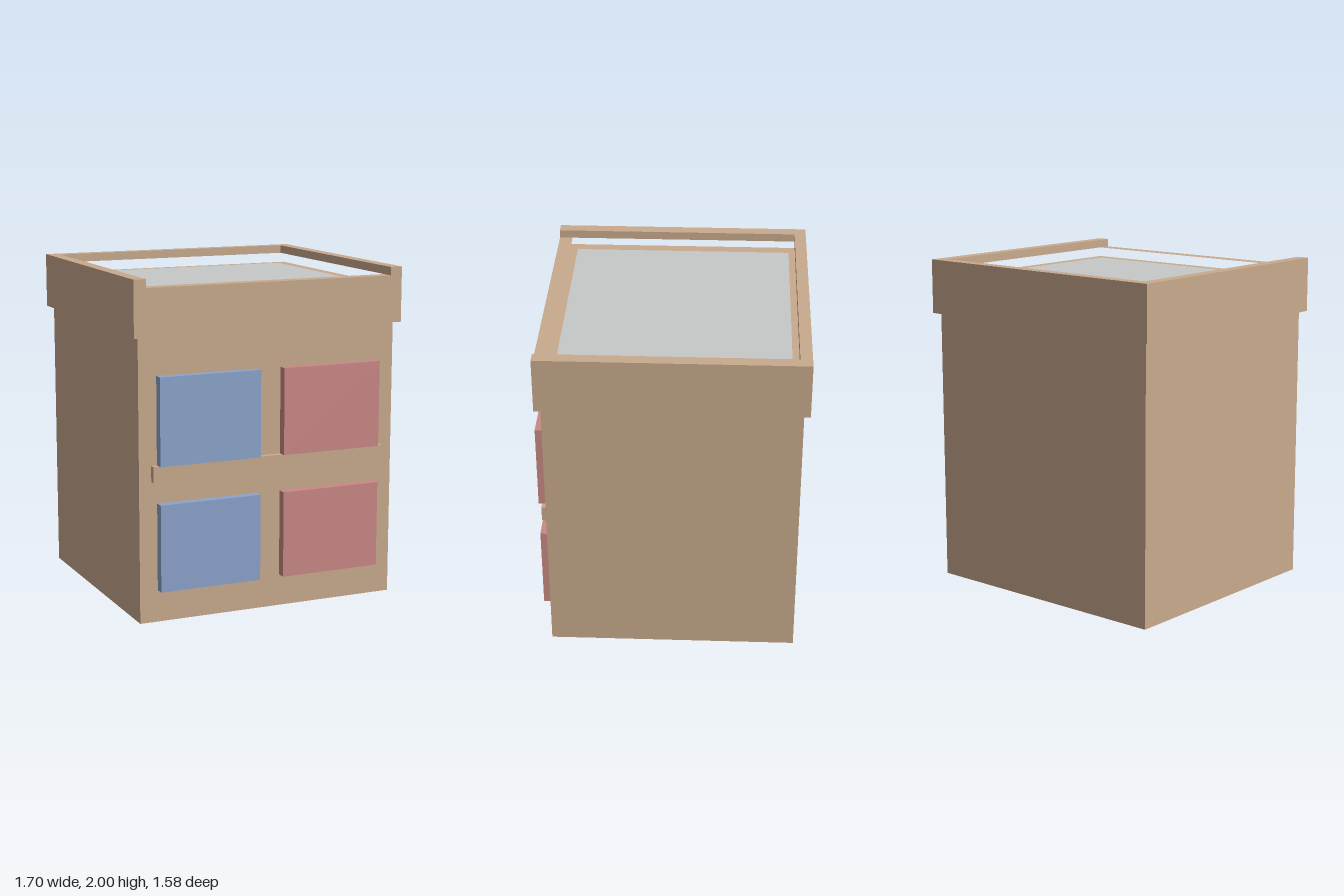
import * as THREE from 'three';

export function createModel() {
  const group = new THREE.Group();
  group.name = 'drawerCabinet';

  const material = (name, color) => {
    const m = new THREE.MeshStandardMaterial({ color });
    m.name = name;
    return m;
  };
  const tan = material('tan', 0xc8aa8d);
  const blue = material('blue', 0x8ba3cb);
  const red = material('red', 0xc98885);
  const grey = material('grey', 0xc6c9c8);

  const add = (name, geometry, mat) => {
    const mesh = new THREE.Mesh(geometry, mat);
    mesh.name = name;
    group.add(mesh);
    return mesh;
  };
  // Box given by its minimum and maximum corners
  const box = (name, mat, [x0, y0, z0], [x1, y1, z1]) =>
    add(name, new THREE.BoxGeometry(x1 - x0, y1 - y0, z1 - z0), mat)
      .position.set((x0 + x1) / 2, (y0 + y1) / 2, (z0 + z1) / 2);
  // Plan outline of [x, z] points, raised from y0 to y1
  const points = (pts) => pts.map(([x, z]) => new THREE.Vector2(x, -z));
  const rect = (x, z0, z1) => points([[-x, z0], [x, z0], [x, z1], [-x, z1]]);
  const raise = (name, mat, shape, y0, y1) => {
    const g = new THREE.ExtrudeGeometry(shape, { depth: y1 - y0, bevelEnabled: false });
    g.rotateX(-Math.PI / 2);
    add(name, g, mat).position.y = y0;
  };

  // Cabinet body, its top forming the ledge inside the rim
  box('body', tan, [-0.815, 0, -0.75], [0.815, 1.885, 0.735]);
  box('topPanel', grey, [-0.74, 1.88, -0.68], [0.74, 1.888, 0.655]);

  // Rim: a closed ring, with a raised edge open at the front
  const ring = new THREE.Shape(rect(0.85, -0.785, 0.77));
  ring.holes.push(new THREE.Path(rect(0.775, -0.715, 0.69)));
  raise('rim', tan, ring, 1.67, 1.95);
  const edge = new THREE.Shape(points([
    [-0.85, 0.77], [-0.775, 0.77], [-0.775, -0.715], [0.775, -0.715],
    [0.775, 0.77], [0.85, 0.77], [0.85, -0.785], [-0.85, -0.785],
  ]));
  raise('rimRaisedEdge', tan, edge, 1.95, 2);

  // Rail between the drawer rows
  box('middleRail', tan, [-0.74, 0.835, 0.73], [0.74, 0.93, 0.77]);

  // Drawer fronts, two rows of two
  for (const [row, y] of [['lower', 0.19], ['upper', 0.93]]) {
    box(row + 'RightDrawer', blue, [-0.705, y, 0.73], [-0.077, y + 0.516, 0.79]);
    box(row + 'LeftDrawer', red, [0.073, y, 0.73], [0.701, y + 0.516, 0.79]);
  }
  return group;
}
